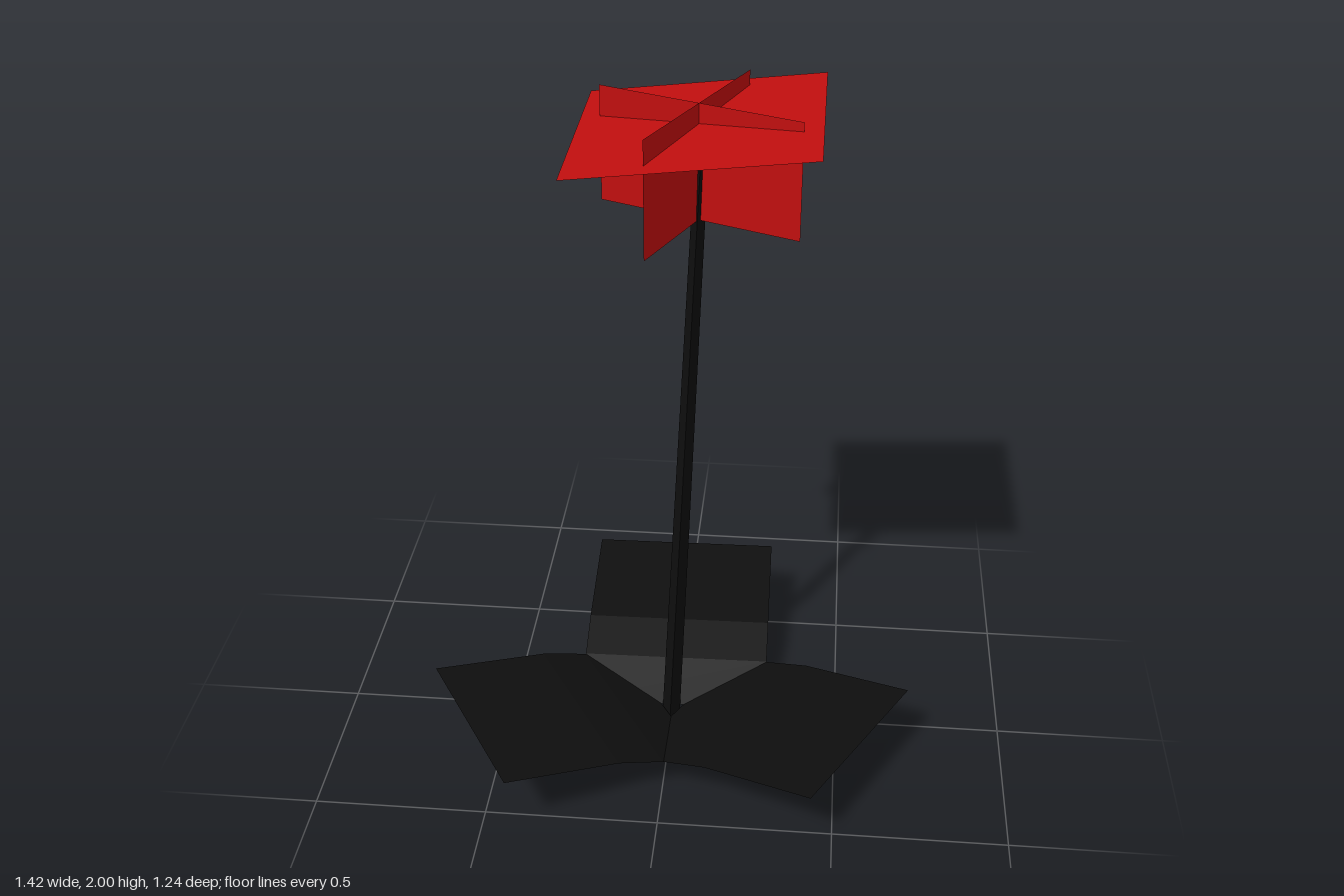
import * as THREE from 'three';

const RED = new THREE.MeshStandardMaterial({ color: 0xc00e0e, side: THREE.DoubleSide, flatShading: true });
const BLACK = new THREE.MeshStandardMaterial({ color: 0x0e0e0e, side: THREE.DoubleSide, flatShading: true });

function part(name, geometry, material) {
  const mesh = new THREE.Mesh(geometry, material);
  mesh.name = name;
  return mesh;
}

// Bent strip: each profile point is [distance from the stem, height]
function leafGeometry(width, profile) {
  const geo = new THREE.PlaneGeometry(width, 1, 1, profile.length - 1);
  const pos = geo.attributes.position;
  for (let i = 0; i < pos.count; i++) {
    const [r, y] = profile[Math.floor(i / 2)];
    pos.setXYZ(i, pos.getX(i), y, r);
  }
  // rows run outward, so flip the winding to face up
  const idx = geo.index.array;
  for (let i = 0; i < idx.length; i += 3) [idx[i], idx[i + 1]] = [idx[i + 1], idx[i]];
  geo.computeVertexNormals();
  return geo;
}

export function createModel() {
  const model = new THREE.Group();
  model.name = 'flower';

  // Three bent leaves around the foot of the stem
  const leafGeo = leafGeometry(0.57, [[0.02, 0.045], [0.166, 0.113], [0.306, 0.16], [0.655, 0.22]]);
  for (let i = 0; i < 3; i++) {
    const leaf = part('leaf', leafGeo, BLACK);
    leaf.position.z = 0.036;
    leaf.rotation.y = THREE.MathUtils.degToRad(61 + 120 * i);
    model.add(leaf);
  }

  // Leaning, tapered three-sided stem
  const stemGeo = new THREE.CylinderGeometry(0.021, 0.031, 1.83, 3);
  const pos = stemGeo.attributes.position;
  for (let i = 0; i < pos.count; i++) {
    const t = pos.getY(i) / 1.83 + 0.5;
    pos.setX(i, pos.getX(i) - 0.005 + 0.08 * t);
  }
  stemGeo.computeVertexNormals();
  const stem = part('stem', stemGeo, BLACK);
  stem.position.set(0, 0.915, 0.032);
  model.add(stem);

  // Blossom: two crossed upright petals and one tilted flat petal
  const blossom = new THREE.Group();
  blossom.name = 'blossom';
  blossom.position.set(0.07, 0, 0.038);
  const uprightGeo = new THREE.PlaneGeometry(0.586, 0.32);
  for (let i = 0; i < 2; i++) {
    const petal = part('uprightPetal', uprightGeo, RED);
    petal.position.y = 1.84;
    petal.rotation.y = -Math.atan2(0.115, 0.27) + i * Math.PI / 2;
    blossom.add(petal);
  }
  const flatGeo = new THREE.PlaneGeometry(0.644, 0.645).rotateX(-Math.PI / 2);
  const flat = part('flatPetal', flatGeo, RED);
  flat.position.y = 1.945;
  flat.rotation.z = Math.atan2(0.072, 0.64);
  blossom.add(flat);
  model.add(blossom);

  return model;
}
